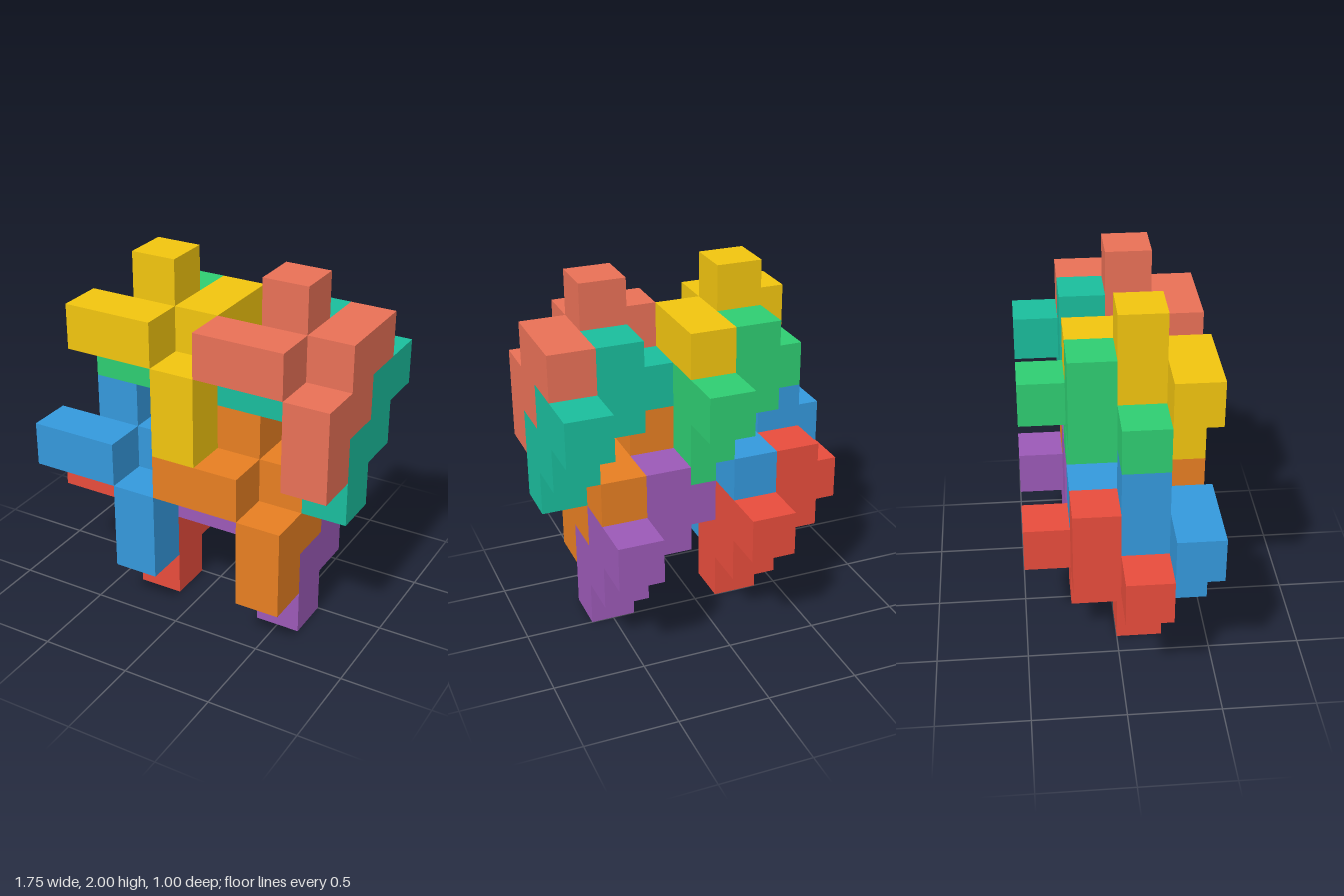
import * as THREE from 'three';
import { mergeGeometries } from 'three/addons/utils/BufferGeometryUtils.js';

const CELL = 0.25;

// Cubes of one puzzle piece, relative to its empty outer corner
const CUBES = [
  [-2, 0, 0], [-1, 0, 0],    // arm along x
  [0, -2, 0], [0, -1, 0],    // arm along y
  [0, 0, -2], [0, 0, -1],    // arm along z
  [-1, 0, -1], [0, -1, -1],  // inner links
  [-1, 1, -1],               // knob
];

// Empty outer corner (cell x, y, z) and colour of each interlocking piece
const PIECES = [
  ['redPiece', [2, 2, 2], 0xe74c3c],
  ['bluePiece', [2, 3, 3], 0x3498db],
  ['greenPiece', [3, 5, 2], 0x2ecc71],
  ['yellowPiece', [3, 6, 3], 0xf1c40f],
  ['purplePiece', [5, 2, 2], 0x9b59b6],
  ['orangePiece', [5, 3, 3], 0xe67e22],
  ['tealPiece', [6, 5, 2], 0x1abc9c],
  ['coralPiece', [6, 6, 3], 0xe87056],
];

const DIRECTIONS = [
  [1, 0, 0], [-1, 0, 0], [0, 1, 0], [0, -1, 0], [0, 0, 1], [0, 0, -1],
];

// Skin of the piece: one square wherever a cube has no neighbour
function createPieceGeometry() {
  const filled = new Set(CUBES.map(String));
  const front = new THREE.Vector3(0, 0, 1);
  const squares = [];
  for (const cube of CUBES) {
    for (const dir of DIRECTIONS) {
      if (filled.has(String(cube.map((c, i) => c + dir[i])))) continue;
      const normal = new THREE.Vector3(...dir);
      const turn = new THREE.Quaternion();
      if (dir[2] === -1) turn.set(0, 1, 0, 0);
      else turn.setFromUnitVectors(front, normal);
      const centre = new THREE.Vector3(...cube).addScaledVector(normal, 0.5).multiplyScalar(CELL);
      const square = new THREE.PlaneGeometry(CELL, CELL);
      square.applyQuaternion(turn).translate(centre.x, centre.y, centre.z);
      squares.push(square);
    }
  }
  return mergeGeometries(squares);
}

export function createModel() {
  const model = new THREE.Group();
  model.name = 'interlockingPuzzle';
  const geometry = createPieceGeometry();
  for (const [name, [x, y, z], color] of PIECES) {
    const piece = new THREE.Mesh(geometry, new THREE.MeshStandardMaterial({ color }));
    piece.name = name;
    piece.position.set((x - 3) * CELL, (y + 0.5) * CELL, (z - 1.5) * CELL);
    model.add(piece);
  }
  return model;
}
